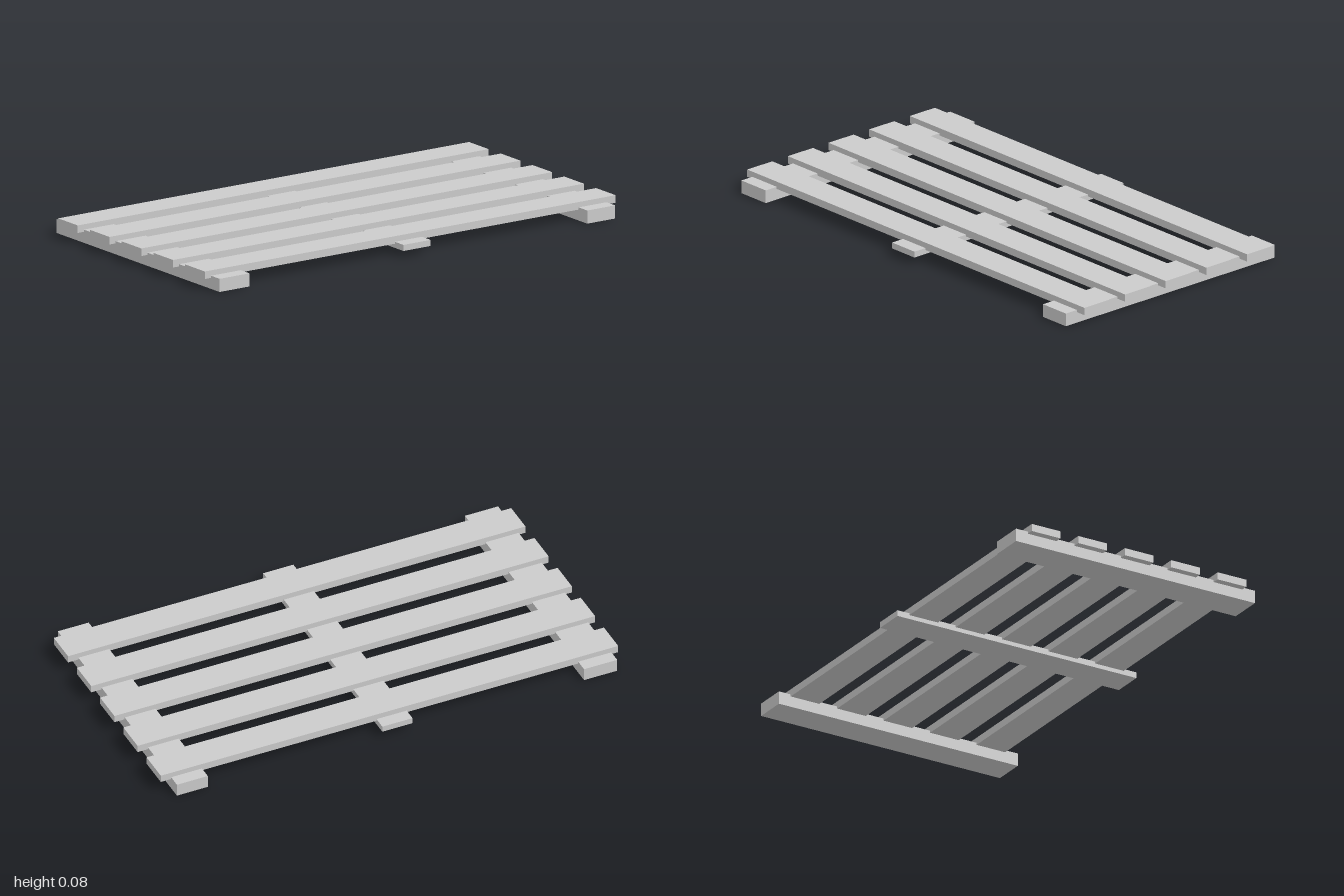
import * as THREE from 'three';

const material = new THREE.MeshStandardMaterial({ color: 0xcccccc, flatShading: true });

// Board spanning the given ranges on each axis
function board(name, [x0, x1], [y0, y1], [z0, z1]) {
  const mesh = new THREE.Mesh(new THREE.BoxGeometry(x1 - x0, y1 - y0, z1 - z0), material);
  mesh.position.set((x0 + x1) / 2, (y0 + y1) / 2, (z0 + z1) / 2);
  mesh.name = name;
  return mesh;
}

export function createModel() {
  const model = new THREE.Group();
  model.name = 'slattedPallet';

  // Five long slats, let slightly into the cross beams
  const slatWidth = 0.133, slatSpacing = 0.216;
  for (let i = -2; i <= 2; i++) {
    const x = i * slatSpacing - 0.002;
    model.add(board(`slat${i + 3}`, [x - slatWidth / 2, x + slatWidth / 2], [0.045, 0.076], [-1, 1]));
  }

  // Thick beams at the ends and a thin batten across the middle
  const span = [-0.555, 0.555];
  model.add(board('frontBeam', span, [0, 0.054], [0.825, 0.97]));
  model.add(board('backBeam', span, [0, 0.054], [-0.955, -0.82]));
  model.add(board('middleBatten', span, [0.028, 0.053], [-0.057, 0.075]));

  return model;
}
